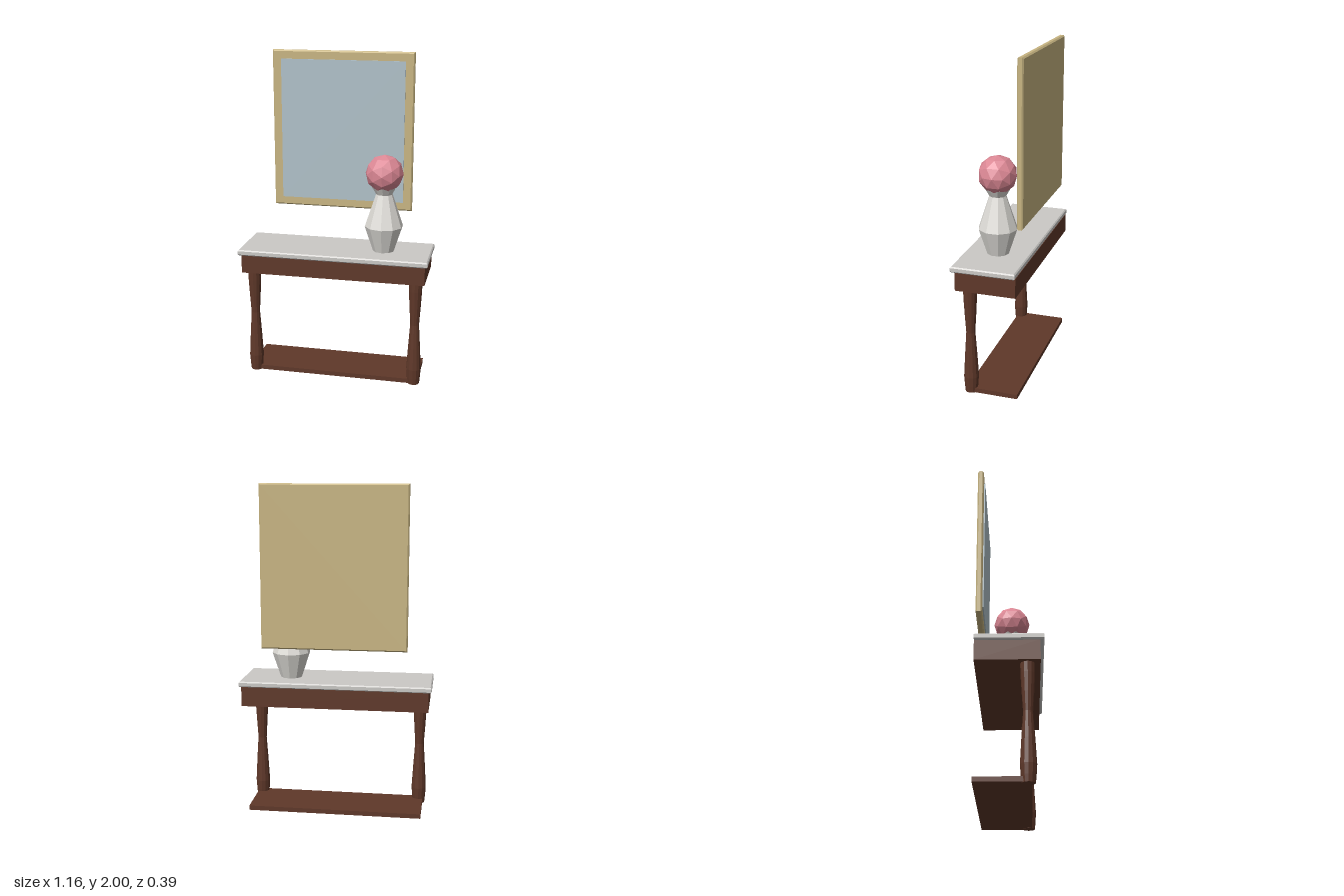
import * as THREE from 'three';

const paint = (name, color, flatShading = true) => {
  const m = new THREE.MeshStandardMaterial({ color, flatShading });
  m.name = name;
  return m;
};

// Rectangular board with chamfered edges, thickness along z, centred on the origin
function bevelledBoard(w, h, d, b) {
  const x = w / 2 - b, y = h / 2 - b;
  const shape = new THREE.Shape([
    new THREE.Vector2(-x, -y), new THREE.Vector2(x, -y),
    new THREE.Vector2(x, y), new THREE.Vector2(-x, y),
  ]);
  const g = new THREE.ExtrudeGeometry(shape, {
    depth: d - 2 * b, bevelEnabled: true, bevelThickness: b, bevelSize: b, bevelSegments: 1,
  });
  return g.translate(0, 0, b - d / 2);
}

const turned = (profile, sides) =>
  new THREE.LatheGeometry(profile.map(([r, y]) => new THREE.Vector2(r, y)), sides);

export function createModel() {
  const model = new THREE.Group();
  const wood = paint('dark wood', 0x5f3829);
  const stone = paint('pale stone', 0xcbc9c6);
  const ceramic = paint('white ceramic', 0xdddbd6);
  const brass = paint('pale brass', 0xc8b582);
  const glass = paint('mirror glass', 0xb0c1c9);
  const pink = paint('pink blossom', 0xdb8794);

  const add = (name, geometry, material, x, y, z) => {
    const mesh = new THREE.Mesh(geometry, material);
    mesh.name = name;
    mesh.position.set(x, y, z);
    model.add(mesh);
    return mesh;
  };

  // Console table
  add('tableTop', bevelledBoard(1.164, 0.385, 0.035, 0.007).rotateX(-Math.PI / 2), stone, 0, 0.8025, 0);
  add('apron', new THREE.BoxGeometry(1.13, 0.118, 0.363), wood, 0, 0.728, -0.0105);
  add('lowerShelf', new THREE.BoxGeometry(1.06, 0.028, 0.312), wood, 0, 0.016, -0.036);

  // Turned front legs
  const legProfile = [[0, 0], [0.037, 0], [0.041, 0.04], [0.045, 0.1], [0.037, 0.24],
    [0.027, 0.39], [0.034, 0.5], [0.04, 0.61], [0.041, 0.67], [0, 0.67]];
  for (const side of [-1, 1]) {
    add(side > 0 ? 'leftLeg' : 'rightLeg', turned(legProfile, 12), wood, side * 0.505, 0, 0.1);
  }

  // Vase with a round bouquet
  const vaseProfile = [[0, 0], [0.066, 0], [0.117, 0.155], [0.05, 0.355], [0.076, 0.4], [0, 0.4]];
  add('vase', turned(vaseProfile, 10), ceramic, 0.29, 0.82, 0);
  add('bouquet', new THREE.IcosahedronGeometry(0.115, 1), pink, 0.29, 1.3, 0);

  // Wall mirror
  add('mirrorFrame', bevelledBoard(0.872, 0.97, 0.036, 0.008), brass, 0, 1.515, -0.177);
  add('mirrorGlass', new THREE.BoxGeometry(0.764, 0.864, 0.007), glass, 0, 1.515, -0.1555);

  return model;
}
